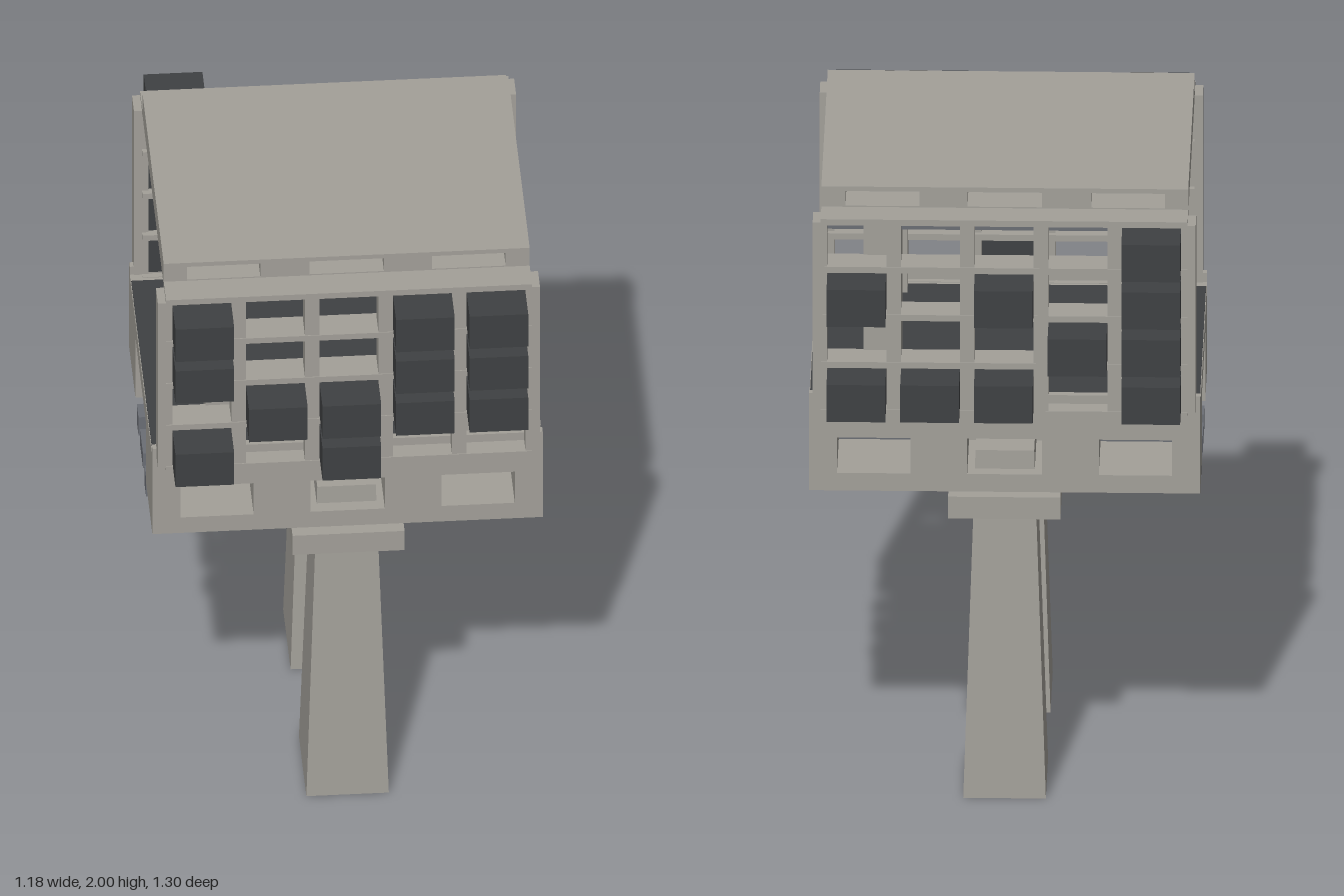
import * as THREE from 'three';

const material = (color) => new THREE.MeshStandardMaterial({ color, flatShading: true });

export function createModel() {
  const model = new THREE.Group();
  const concrete = material(0xa3a099);
  const dark = material(0x3f4143);
  const steel = material(0x6b6e75);

  const add = (name, geometry, mat) => {
    const mesh = new THREE.Mesh(geometry, mat);
    mesh.name = name;
    model.add(mesh);
    return mesh;
  };

  // Box given by its limits on each axis
  const box = (name, mat, [x0, x1], [y0, y1], [z0, z1]) => {
    const mesh = add(name, new THREE.BoxGeometry(x1 - x0, y1 - y0, z1 - z0), mat);
    mesh.position.set((x0 + x1) / 2, (y0 + y1) / 2, (z0 + z1) / 2);
    return mesh;
  };

  // z range mirrored to the front (s = 1) or the back (s = -1)
  const side = (s, a, b) => (s > 0 ? [a, b] : [-b, -a]);

  // Slab with rectangular openings running through it along z
  const piercedSlab = (name, halfW, [y0, y1], [z0, z1], openings, [h0, h1]) => {
    const rect = (target, xa, xb, ya, yb) => target.moveTo(xa, ya).lineTo(xb, ya).lineTo(xb, yb).lineTo(xa, yb).closePath();
    const shape = rect(new THREE.Shape(), -halfW, halfW, y0, y1);
    for (const [a, b] of openings) shape.holes.push(rect(new THREE.Path(), a, b, h0, h1));
    const geometry = new THREE.ExtrudeGeometry(shape, { depth: z1 - z0, bevelEnabled: false });
    geometry.translate(0, 0, z0);
    return add(name, geometry, concrete);
  };

  // Tapered pillar leg, centred on x = 0
  const pillarLeg = (s) => {
    const height = 1.13;
    const geometry = new THREE.BoxGeometry(0.25, height, 0.305);
    const p = geometry.attributes.position;
    for (let i = 0; i < p.count; i++) {
      if (p.getY(i) > 0) {
        p.setX(i, p.getX(i) * 0.71);
        p.setZ(i, p.getZ(i) * 0.71);
      }
    }
    geometry.computeVertexNormals();
    add('pillarLeg', geometry, concrete).position.set(0, height / 2, s * 0.323);
  };

  // Pods present in each rack: rows from top to bottom, columns from -x to +x
  const podMaps = {
    1: ['10011', '10011', '01111', '10100'],
    '-1': ['10000', '10101', '11000', '10111'],
  };
  const columnPitch = 0.223;
  const rowPitch = 0.157;

  for (const s of [1, -1]) {
    // Supports and lower body
    pillarLeg(s);
    box('legCap', concrete, [-0.17, 0.17], [0.94, 1.012], side(s, 0.13, 0.515));
    piercedSlab('lowerBody', 0.592, [1.012, 1.3], side(s, 0.22, 0.475),
      [[-0.507, -0.285], [-0.113, 0.113], [0.285, 0.507]], [1.07, 1.187]);
    box('curb', concrete, [-0.592, 0.592], [1.3, 1.333], side(s, 0.452, 0.475));
    box('floorEdge', concrete, [-0.592, 0.592], [1.295, 1.303], side(s, 0.42, 0.475));
    box('outerBeam', steel, [-0.59, 0.59], [0.942, 1.01], side(s, 0.122, 0.19));

    // Columns and rail inside the upper storey
    for (const m of [1, -1]) {
      const x = m * 0.37;
      box('innerColumn', concrete, [x - 0.058, x + 0.058], [1.3, 1.92], side(s, 0.353, 0.44));
    }
    box('ceilingRail', steel, [-0.54, 0.54], [1.86, 1.89], side(s, 0.37, 0.438));

    // Rack uprights and shelves
    for (let i = 0; i < 6; i++) {
      const x = (i - 2.5) * columnPitch;
      box('rackUpright', concrete, [x - 0.022, x + 0.022], [1.3, 1.92], side(s, 0.45, 0.53));
    }
    for (let i = 0; i < 5; i++) {
      const y = 1.295 + i * rowPitch;
      box('rackShelf', concrete, [-0.555, 0.555], [y - 0.01, y + 0.01], side(s, 0.433, 0.533));
    }

    // Pods plugged into the rack
    podMaps[s].forEach((row, r) => [...row].forEach((cell, c) => {
      if (cell === '0') return;
      const x = (c - 2) * columnPitch;
      const y = 1.847 - r * rowPitch;
      box('pod', dark, [x - 0.089, x + 0.089], [y - 0.061, y + 0.061], side(s, 0.445, 0.65));
    }));
  }

  // Middle of the lower body
  box('deck', concrete, [-0.592, 0.592], [1.238, 1.3], [-0.22, 0.22]);
  box('floor', dark, [-0.59, 0.59], [1.296, 1.304], [-0.42, 0.42]);
  box('centreBlock', concrete, [-0.17, 0.17], [1.01, 1.167], [-0.2, 0.2]);
  box('centreBeam', steel, [-0.59, 0.59], [0.955, 1.01], [-0.062, 0.062]);

  // Roof with openings along its length
  piercedSlab('roof', 0.555, [1.918, 2], [-0.438, 0.438],
    [[-0.485, -0.262], [-0.113, 0.113], [0.258, 0.482]], [1.937, 1.985]);

  return model;
}
